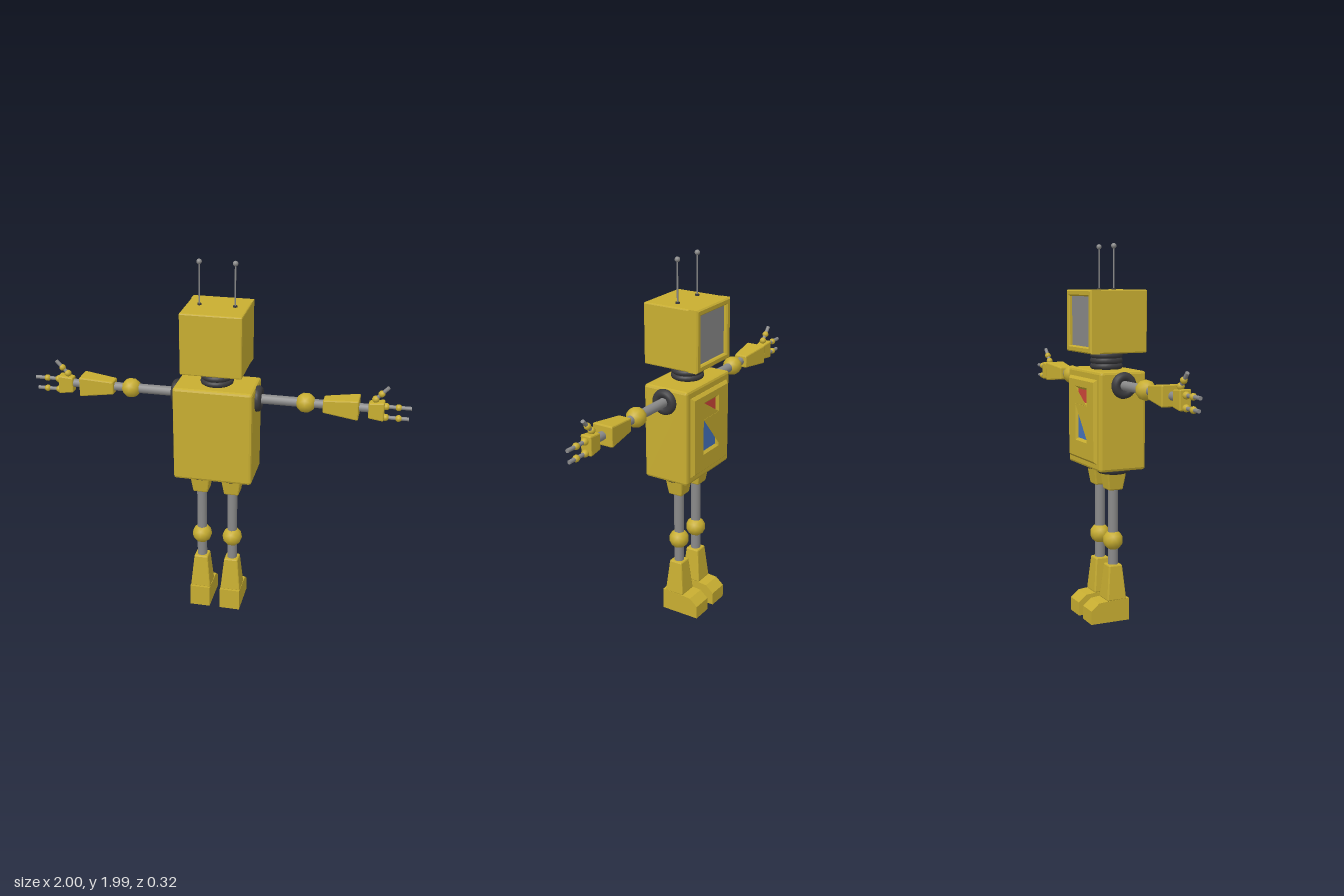
import * as THREE from 'three';
import { RoundedBoxGeometry } from 'three/addons/geometries/RoundedBoxGeometry.js';

const mat = (name, color) => {
  const m = new THREE.MeshStandardMaterial({ color });
  m.name = name;
  return m;
};

export function createModel() {
  const yellow = mat('yellow paint', 0xc8ae31);
  const gray = mat('gray metal', 0x8a8a8a);
  const dark = mat('dark rubber', 0x3a3a3d);
  const red = mat('red panel', 0xcf473a);
  const blue = mat('blue panel', 0x4673be);

  const model = new THREE.Group();
  model.name = 'robot';

  const add = (parent, name, geo, material, x = 0, y = 0, z = 0) => {
    const mesh = new THREE.Mesh(geo, material);
    mesh.name = name;
    mesh.position.set(x, y, z);
    parent.add(mesh);
    return mesh;
  };
  const group = (parent, name, x = 0, y = 0, z = 0) => {
    const g = new THREE.Group();
    g.name = name;
    g.position.set(x, y, z);
    parent.add(g);
    return g;
  };

  // Chamfered box whose x and z sizes change from bottom to top
  const taper = (wBottom, wTop, h, dBottom = wBottom, dTop = wTop, r = 0.007) => {
    const geo = new RoundedBoxGeometry(1, h, 1, 1, r);
    const p = geo.attributes.position;
    for (let i = 0; i < p.count; i++) {
      const t = p.getY(i) / h + 0.5;
      const w = wBottom + (wTop - wBottom) * t;
      const d = dBottom + (dTop - dBottom) * t;
      // keep the chamfer the same size after scaling
      const sx = Math.sign(p.getX(i)), sz = Math.sign(p.getZ(i));
      p.setX(i, sx * (w / 2 - (0.5 - Math.abs(p.getX(i)))));
      p.setZ(i, sz * (d / 2 - (0.5 - Math.abs(p.getZ(i)))));
    }
    geo.computeVertexNormals();
    return geo;
  };
  const block = (w, h, d, r) => {
    const geo = new RoundedBoxGeometry(w, h, d, 1, r);
    geo.computeVertexNormals();
    return geo;
  };
  // Faceted joint ball
  const ball = (r, detail = 1) => new THREE.IcosahedronGeometry(r, detail);
  const rod = (r, len, sides = 16) => new THREE.CylinderGeometry(r, r, len, sides);
  const along = (geo) => geo.rotateZ(-Math.PI / 2); // turn +y to +x

  // Rectangular outline, as [centre y, width, height]
  const rect = (Type, cy, w, h) => {
    const s = new Type();
    s.moveTo(-w / 2, cy - h / 2);
    s.lineTo(w / 2, cy - h / 2);
    s.lineTo(w / 2, cy + h / 2);
    s.lineTo(-w / 2, cy + h / 2);
    s.closePath();
    return s;
  };
  const frame = (w, h, depth, bevel, holes) => {
    const s = rect(THREE.Shape, 0, w, h);
    holes.forEach((o) => s.holes.push(rect(THREE.Path, ...o)));
    return new THREE.ExtrudeGeometry(s, {
      depth: depth - 2 * bevel, bevelEnabled: true, bevelThickness: bevel,
      bevelSize: bevel, bevelOffset: -bevel, bevelSegments: 1,
    }).translate(0, 0, bevel);
  };

  // Head: box with a framed screen on the -z side
  const head = group(model, 'head', 0, 1.593);
  add(head, 'headBox', block(0.32, 0.324, 0.295, 0.007), yellow, 0, 0, 0.0125);
  add(head, 'screenFrame', frame(0.32, 0.324, 0.06, 0.007, [[0, 0.25, 0.258]]), yellow, 0, 0, -0.16);
  add(head, 'screen', new THREE.BoxGeometry(0.266, 0.272, 0.006), gray, 0, 0, -0.138);

  // Antennas
  for (const x of [-0.092, 0.092]) {
    const antenna = group(head, 'antenna', x, 0.162);
    add(antenna, 'antennaBase', rod(0.011, 0.012, 12), dark, 0, 0.002);
    add(antenna, 'antennaRod', rod(0.004, 0.22, 8), gray, 0, 0.11);
    add(antenna, 'antennaTip', ball(0.014, 2), gray, 0, 0.222);
  }

  // Ribbed neck
  for (let i = 0; i < 3; i++) {
    add(model, 'neckRing', new THREE.TorusGeometry(0.07, 0.017, 10, 28).rotateX(Math.PI / 2), dark,
      0, 1.357 + i * 0.029);
  }
  add(model, 'neckCore', rod(0.07, 0.1, 24), dark, 0, 1.385);

  // Torso with chest plate and two recessed panels
  add(model, 'torso', block(0.42, 0.516, 0.26, 0.014), yellow, 0, 1.084);
  add(model, 'chestPlate', frame(0.35, 0.437, 0.036, 0.014,
    [[0.122, 0.122, 0.066], [-0.022, 0.122, 0.168]]), yellow, 0, 1.082, -0.147);
  add(model, 'redPanel', new THREE.BoxGeometry(0.13, 0.074, 0.006), red, 0, 1.204, -0.131);
  add(model, 'bluePanel', new THREE.BoxGeometry(0.13, 0.176, 0.006), blue, 0, 1.06, -0.131);

  // A finger: base joint, rod, knuckle; points along +x
  const finger = (parent, name, x, y, len, knuckle, angle = 0) => {
    const f = group(parent, name, x, y);
    f.rotation.z = angle;
    add(f, 'fingerBase', ball(0.019), yellow);
    add(f, 'fingerRod', along(rod(0.01, len, 12)), gray, len / 2);
    add(f, 'fingerKnuckle', ball(0.018), yellow, knuckle);
  };

  // Arms, stretched out sideways
  for (const side of [1, -1]) {
    const arm = group(model, side > 0 ? 'leftArm' : 'rightArm', 0, 1.272);
    arm.rotation.y = side > 0 ? 0 : Math.PI;
    add(arm, 'shoulderRing', new THREE.TorusGeometry(0.045, 0.024, 12, 28).rotateY(Math.PI / 2), dark, 0.216);
    add(arm, 'shoulderHub', along(rod(0.045, 0.03, 20)), dark, 0.208);
    add(arm, 'upperArm', along(rod(0.025, 0.26)), gray, 0.335);
    add(arm, 'elbow', ball(0.053), yellow, 0.465);
    add(arm, 'forearmRod', along(rod(0.023, 0.12)), gray, 0.51);
    add(arm, 'forearm', along(taper(0.07, 0.108, 0.183, 0.074, 0.114)), yellow, 0.647);
    add(arm, 'wrist', along(rod(0.022, 0.07)), gray, 0.762);
    add(arm, 'palm', along(taper(0.084, 0.102, 0.08, 0.05, 0.062)), yellow, 0.825, -0.007);
    finger(arm, 'upperFinger', 0.872, 0.016, 0.128, 0.063);
    finger(arm, 'lowerFinger', 0.872, -0.043, 0.118, 0.066);
    finger(arm, 'thumb', 0.818, 0.052, 0.092, 0.042, 0.82);
  }

  // Foot profile in z and y, toes towards -z
  const sole = new THREE.Shape([
    [-0.07, 0], [0.15, 0], [0.15, 0.073], [0.105, 0.111], [0.06, 0.115], [-0.07, 0.12],
  ].map(([a, b]) => new THREE.Vector2(a, b)));
  const footGeo = new THREE.ExtrudeGeometry(sole, { depth: 0.112, bevelEnabled: false })
    .translate(0, 0, -0.056).rotateY(Math.PI / 2);

  // Legs
  for (const side of [1, -1]) {
    const leg = group(model, side > 0 ? 'leftLeg' : 'rightLeg', side * 0.085);
    add(leg, 'hipRing', new THREE.TorusGeometry(0.064, 0.024, 12, 28).rotateX(Math.PI / 2), dark, 0, 0.822);
    add(leg, 'hipDisc', rod(0.064, 0.02, 24), dark, 0, 0.822);
    add(leg, 'hipSocket', taper(0.08, 0.114, 0.115), yellow, 0, 0.7675);
    add(leg, 'thighRod', rod(0.027, 0.3), gray, 0, 0.575);
    add(leg, 'knee', ball(0.055), yellow, 0, 0.434);
    add(leg, 'shinRod', rod(0.027, 0.14), gray, 0, 0.355);
    add(leg, 'shin', taper(0.112, 0.076, 0.19), yellow, 0, 0.209);
    add(leg, 'foot', footGeo, yellow);
  }

  return model;
}
